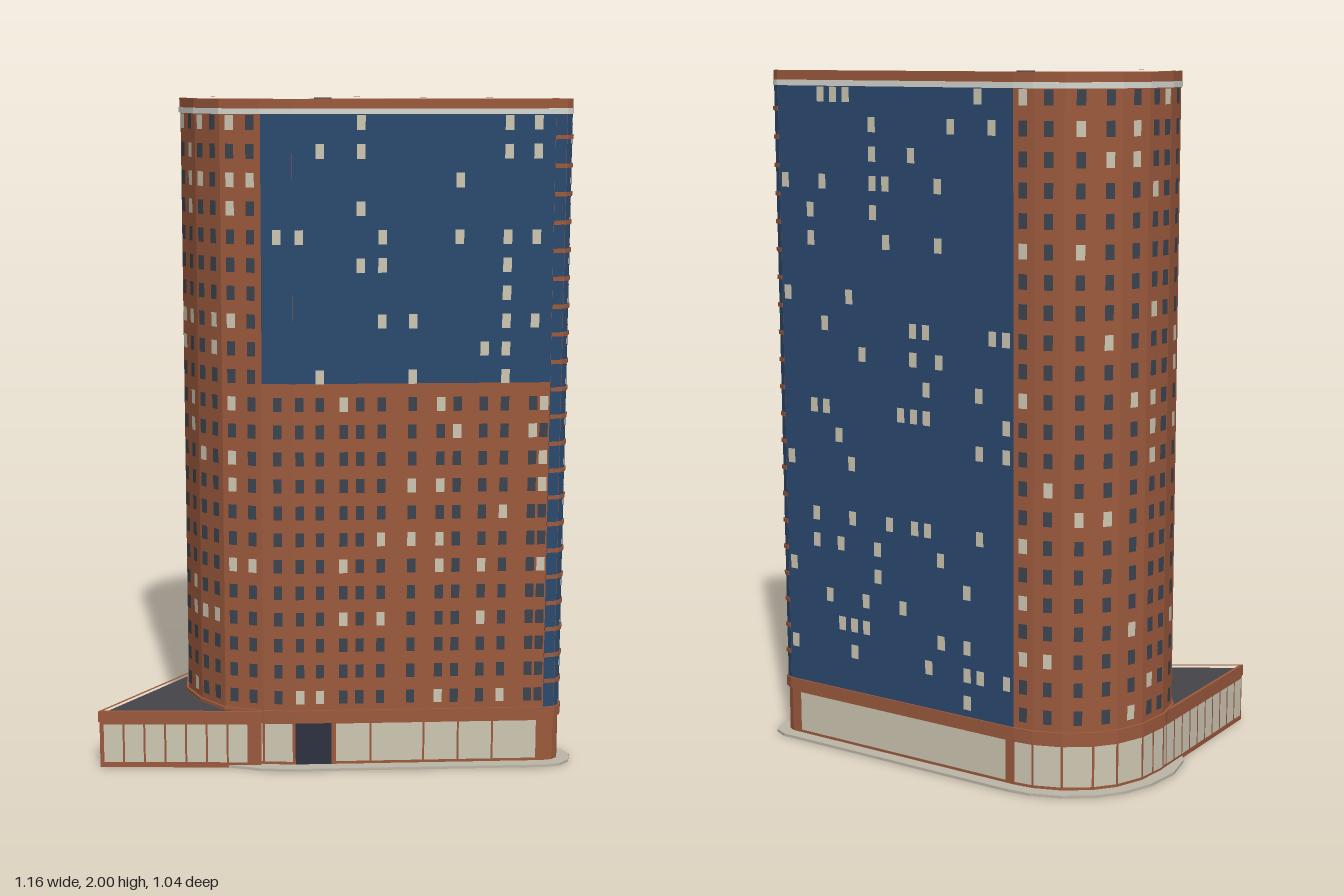
import * as THREE from 'three';
import { mergeGeometries } from 'three/addons/utils/BufferGeometryUtils.js';

const COLORS = {
  brick: 0x9c5a3d, blue: 0x2b4a6f, dark: 0x3c4450, lit: 0xcfc8b4, roof: 0x454449,
  stone: 0xbdb7a7, white: 0xd8d8d2, unit: 0x8c9498, door: 0x2d3240,
};
const mats = {};
for (const k in COLORS) mats[k] = new THREE.MeshStandardMaterial({ color: COLORS[k] });

// Tower plan as [x, z]: long front wall, rounded west end, straight back wall, narrow tip
const PLAN = [
  [0.52, -0.405], [-0.022, 0.124], [-0.093, 0.18], [-0.204, 0.232], [-0.316, 0.22], [-0.42, 0.176],
  [-0.508, 0.084], [-0.539, 0], [-0.542, -0.102], [-0.52, -0.189], [-0.483, -0.25], [-0.42, -0.31],
  [-0.347, -0.35], [-0.29, -0.365], [0.505, -0.483], [0.526, -0.477], [0.539, -0.455], [0.539, -0.433],
];
const ANNEX = [[-0.093, 0.192], [-0.463, 0.513], [-0.537, 0]];
const BACK = 13; // facet index of the back wall; facets after it form the tip
const FLOORS = 22, STEP = 0.0815, ROW0 = 0.222, BASE = 0.18, TOP = 1.957, GLASS_Y = 1.18;

let seed = 7;
const rand = () => (seed = (seed * 16807) % 2147483647) / 2147483647;
const mix = (a, b, t) => [a[0] + (b[0] - a[0]) * t, a[1] + (b[1] - a[1]) * t];
const dist = (a, b) => Math.hypot(b[0] - a[0], b[1] - a[1]);
const facet = (i) => [PLAN[i], PLAN[(i + 1) % PLAN.length]];

// Outward normal of a plan edge
function normal(a, b) {
  const l = dist(a, b);
  return [(b[1] - a[1]) / l, -(b[0] - a[0]) / l];
}

// Mitred offset of a plan; positive grows it
function offset(pts, d) {
  return pts.map((p, i) => {
    const m = normal(pts[(i + pts.length - 1) % pts.length], p);
    const n = normal(p, pts[(i + 1) % pts.length]);
    const k = d / (1 + m[0] * n[0] + m[1] * n[1]);
    return [p[0] + (m[0] + n[0]) * k, p[1] + (m[1] + n[1]) * k];
  });
}

// Upright prism from a plan, optionally hollow
function prism(name, mat, pts, y0, y1, hole) {
  const v = (list) => list.map(([x, z]) => new THREE.Vector2(x, -z));
  const shape = new THREE.Shape(v(pts));
  if (hole) shape.holes.push(new THREE.Path(v(hole)));
  const g = new THREE.ExtrudeGeometry(shape, { depth: y1 - y0, bevelEnabled: false });
  g.rotateX(-Math.PI / 2).translate(0, y0, 0);
  const mesh = new THREE.Mesh(g, mats[mat]);
  mesh.name = name;
  return mesh;
}

// Flat panel standing just outside the wall from a to b
function panel(a, b, y0, y1, out) {
  const n = normal(a, b), m = mix(a, b, 0.5);
  return new THREE.PlaneGeometry(dist(a, b), y1 - y0)
    .rotateY(Math.atan2(n[0], n[1]))
    .translate(m[0] + n[0] * out, (y0 + y1) / 2, m[1] + n[1] * out);
}

export function createModel() {
  const root = new THREE.Group();
  root.name = 'towerBuilding';
  const parts = {};
  const put = (name, mat, g) => (parts[name] ??= { mat, list: [] }).list.push(g);

  // One vertical column of windows; on glass only lit ones are drawn
  function windowColumn([a, b], t, chance, isGlass) {
    const w = 0.0125 / dist(a, b);
    const p = mix(a, b, t - w), q = mix(a, b, t + w);
    for (let f = 0; f < FLOORS; f++) {
      const y = ROW0 + f * STEP, lit = rand() < chance;
      if (!lit && isGlass(y)) continue;
      put(lit ? 'litWindows' : 'darkWindows', lit ? 'lit' : 'dark', panel(p, q, y - 0.021, y + 0.021, 0.005));
    }
  }

  // Row of shopfront panes between given fractions of a wall
  function panes([a, b], stops, gap = 0.003) {
    const e = gap / dist(a, b);
    for (let i = 0; i < stops.length - 1; i++) {
      put('shopPanes', 'lit', panel(mix(a, b, stops[i] + e), mix(a, b, stops[i + 1] - e), 0.018, 0.138, 0.004));
    }
  }
  const even = (n, s = 0, e = 1) => Array.from({ length: n + 1 }, (_, i) => s + ((e - s) * i) / n);

  // Ground slab, tower body, cornices, roof and parapet
  root.add(
    prism('plaza', 'stone', offset(PLAN, 0.038), 0, 0.008),
    prism('towerBody', 'brick', PLAN, 0.008, 1.975),
    prism('podiumCornice', 'brick', offset(PLAN, 0.007), 0.148, BASE, offset(PLAN, -0.01)),
    prism('whiteBand', 'white', offset(PLAN, 0.005), TOP, 1.973, offset(PLAN, -0.005)),
    prism('roofDeck', 'roof', offset(PLAN, -0.004), 1.97, 1.98),
    prism('parapet', 'brick', offset(PLAN, 0.003), 1.973, 2, offset(PLAN, -0.008)),
  );

  // Front wall: glass above, brick below
  const front = facet(0), side = facet(1);
  const tx = (x) => (x - front[0][0]) / (front[1][0] - front[0][0]);
  for (const f of [front, side]) put('curtainWall', 'blue', panel(...f, GLASS_Y, TOP, 0.0025));
  const upper = (y) => y > GLASS_Y;
  for (const x of [-0.008, 0.035, 0.085, 0.12, 0.165, 0.23, 0.29, 0.325, 0.38, 0.425, 0.485, 0.508]) {
    windowColumn(front, tx(x), 0.2, upper);
  }
  windowColumn(side, 0.5, 0.2, upper);

  // Rounded brick end
  for (let i = 2; i < BACK; i++) {
    const f = facet(i), n = Math.max(1, Math.round(dist(...f) / 0.062));
    for (let c = 0; c < n; c++) windowColumn(f, (c + 0.5) / n, 0.2, () => false);
    panes(f, even(n > 1 ? 2 : 1));
  }

  // Back wall, all glass
  const back = facet(BACK);
  put('curtainWall', 'blue', panel(...back, BASE, TOP, 0.0025));
  for (let c = 0; c < 18; c++) windowColumn(back, (c + 0.5) / 18, 0.14, () => true);
  panes(back, [0.03, 0.96]);

  // Glazed tip with brick floor bands
  for (let i = BACK + 1; i < PLAN.length; i++) {
    const f = facet(i);
    put('curtainWall', 'blue', panel(...f, BASE, TOP, 0.0025));
  }
  const tip = PLAN.slice(BACK + 1).concat([PLAN[0]]);
  const tipOut = offset(PLAN, 0.006).slice(BACK + 1).concat([offset(PLAN, 0.006)[0]]);
  for (let k = 1; k < FLOORS; k++) {
    const y = BASE + k * STEP;
    root.add(prism('tipBand', 'brick', [...tipOut, ...tip.slice().reverse()], y - 0.006, y + 0.006));
  }

  // Street-level shopfront and entrance
  panes(front, [0.508, 0.41, 0.335, 0.26, 0.145, 0.067].map(tx));
  panes(side, [0, 1]);
  put('entranceDoor', 'door', panel(mix(...front, tx(0.06)), mix(...front, tx(-0.018)), 0.01, 0.14, 0.005));

  // Triangular low annex
  root.add(
    prism('annexBody', 'brick', ANNEX, 0, 0.166),
    prism('annexRoof', 'roof', offset(ANNEX, -0.005), 0.16, 0.17),
    prism('annexRim', 'brick', offset(ANNEX, 0.002), 0.145, 0.178, offset(ANNEX, -0.007)),
  );
  panes([ANNEX[0], ANNEX[1]], even(7, 0.08, 0.98));
  panes([ANNEX[1], ANNEX[2]], even(10, 0.02, 0.96));

  for (const [name, { mat, list }] of Object.entries(parts)) {
    const mesh = new THREE.Mesh(mergeGeometries(list), mats[mat]);
    mesh.name = name;
    root.add(mesh);
  }

  // Rooftop machinery
  const units = [[-0.223, -0.062, 0.083], [-0.142, -0.145, 0.11], [-0.059, -0.226, 0.1], [0.022, -0.307, 0.09]];
  for (const [x, z, depth] of units) {
    const box = new THREE.Mesh(new THREE.BoxGeometry(0.08, 0.018, depth), mats.unit);
    box.position.set(x, 1.987, z);
    box.rotation.y = Math.PI / 4;
    box.name = 'rooftopUnit';
    root.add(box);
  }
  const fan = new THREE.Mesh(new THREE.CylinderGeometry(0.026, 0.026, 0.01, 8), mats.roof);
  fan.position.set(-0.142, 1.995, -0.145);
  fan.name = 'rooftopFan';
  root.add(fan);

  return root;
}
